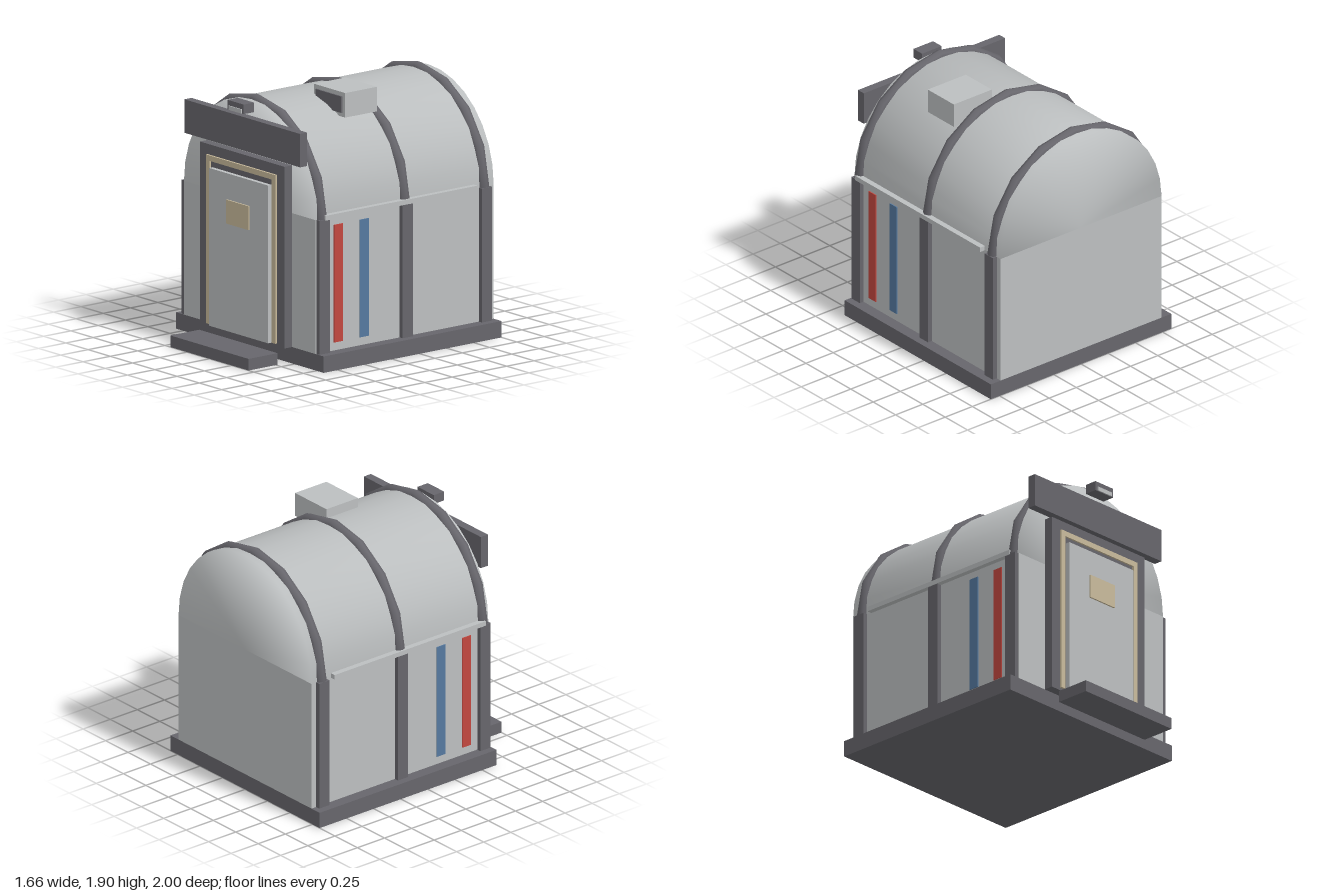
import * as THREE from 'three';
import { mergeVertices } from 'three/addons/utils/BufferGeometryUtils.js';

const material = (name, color) => {
  const m = new THREE.MeshStandardMaterial({ color });
  m.name = name;
  return m;
};

export function createModel() {
  const pale = material('pale grey panel', 0xbcbfc0);
  const dark = material('dark grey frame', 0x67666c);
  const sand = material('sand trim', 0xc8ba9b);
  const red = material('red stripe', 0xc2473f);
  const blue = material('blue stripe', 0x55799f);

  const group = new THREE.Group();
  const add = (name, geometry, mat) => {
    const mesh = new THREE.Mesh(geometry, mat);
    mesh.name = name;
    group.add(mesh);
    return mesh;
  };
  // Box given by its limits on each axis
  const box = (name, mat, [x0, x1], [y0, y1], [z0, z1]) =>
    add(name, new THREE.BoxGeometry(x1 - x0, y1 - y0, z1 - z0), mat)
      .position.set((x0 + x1) / 2, (y0 + y1) / 2, (z0 + z1) / 2);

  // Base, step and walls
  box('base', dark, [-0.83, 0.83], [0, 0.12], [-1, 0.63]);
  box('step', dark, [-0.44, 0.44], [0, 0.085], [0.735, 1]);
  box('walls', pale, [-0.74, 0.74], [0.12, 1.1], [-1, 0.63]);

  // Barrel roof with normals softened over the end edges
  let roof = new THREE.CylinderGeometry(0.74, 0.74, 1.63, 16, 1, false, Math.PI / 2, Math.PI);
  roof.rotateX(Math.PI / 2);
  roof.deleteAttribute('uv');
  roof.deleteAttribute('normal');
  roof = mergeVertices(roof, 1e-4);
  roof.computeVertexNormals();
  add('barrelRoof', roof, pale).position.set(0, 1.1, -0.185);

  // Roof ribs and the wall posts below them
  for (const z of [0.575, -0.185, -0.91]) {
    const rib = add('roofRib', new THREE.TorusGeometry(0.73, 0.045, 8, 10, Math.PI * 1.25), dark);
    rib.rotation.z = -Math.PI / 8;
    rib.position.set(0, 1.1, z);
    for (const s of [-1, 1]) {
      box('wallPost', dark, [s * 0.7525 - 0.0225, s * 0.7525 + 0.0225], [0.12, 1.1], [z - 0.047, z + 0.047]);
    }
  }

  // Side rails and painted stripes
  for (const s of [-1, 1]) {
    const span = (a, b) => (s > 0 ? [a, b] : [-b, -a]);
    box('sideRail', pale, span(0.73, 0.78), [1.095, 1.13], [-0.82, 0.575]);
    box('redStripe', red, span(0.739, 0.748), [0.18, 1.04], [0.385, 0.465]);
    box('blueStripe', blue, span(0.739, 0.748), [0.18, 1.04], [0.15, 0.23]);
    box('doorTrimSide', sand, span(0.35, 0.39), [0.14, 1.375], [0.69, 0.715]);
  }

  // Doorway
  box('doorFrame', dark, [-0.475, 0.475], [0.12, 1.45], [0.63, 0.7]);
  box('doorTrimTop', sand, [-0.35, 0.35], [1.335, 1.375], [0.69, 0.715]);
  box('door', pale, [-0.33, 0.33], [0.135, 1.29], [0.69, 0.733]);
  box('doorPlate', sand, [-0.125, 0.125], [0.925, 1.1], [0.73, 0.745]);

  // Header board and lamp
  box('headerBoard', dark, [-0.65, 0.65], [1.48, 1.725], [0.635, 0.7]);
  box('lampHousing', dark, [-0.09, 0.09], [1.77, 1.84], [0.665, 0.76]);
  box('lampLens', pale, [-0.07, 0.07], [1.772, 1.802], [0.759, 0.768]);

  // Roof vent
  box('ventHousing', pale, [0.12, 0.47], [1.72, 1.9], [-0.15, 0.14]);
  box('ventGrille', dark, [0.15, 0.44], [1.75, 1.87], [0.13, 0.152]);

  return group;
}
